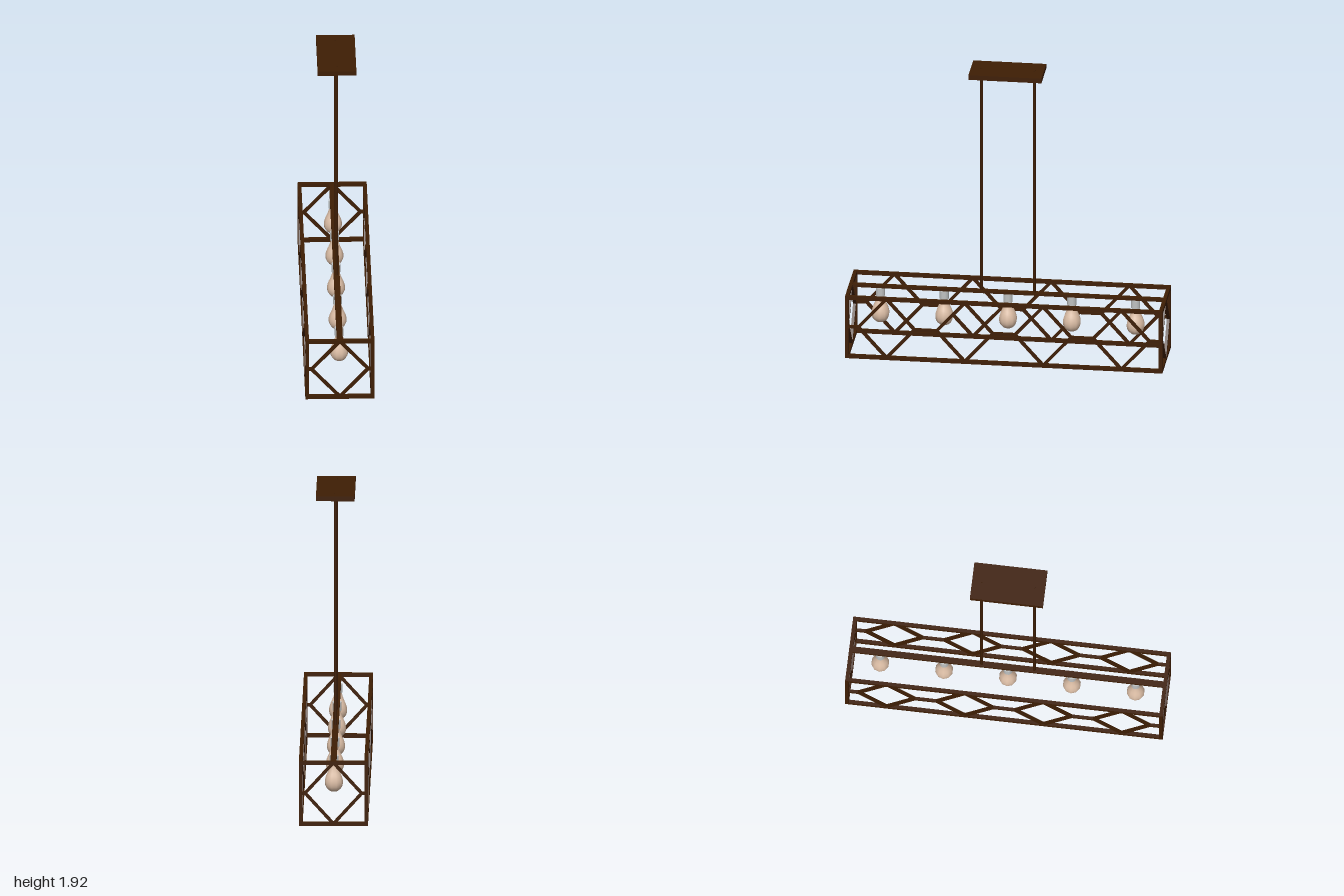
import * as THREE from 'three';

export function createModel() {
  const root = new THREE.Group();
  root.name = 'pendantLight';
  const bronze = new THREE.MeshStandardMaterial({ color: 0x3e1e04 });
  bronze.name = 'dark bronze';
  const glass = new THREE.MeshStandardMaterial({ color: 0xdcbea6 });
  glass.name = 'warm bulb glass';
  const metal = new THREE.MeshStandardMaterial({ color: 0xc0c3c3 });
  metal.name = 'socket grey';

  const add = (parent, name, geometry, material, x = 0, y = 0, z = 0) => {
    const mesh = new THREE.Mesh(geometry, material);
    mesh.name = name;
    mesh.position.set(x, y, z);
    parent.add(mesh);
    return mesh;
  };

  const W = 0.216, H = 0.42, L = 1, T = 0.023; // half width, height, half length, bar
  const cx = W - T / 2, cz = L - T / 2, mid = H / 2;

  // Outer cage of square bars
  const cage = new THREE.Group();
  cage.name = 'cage';
  root.add(cage);
  for (const y of [T / 2, H - T / 2]) {
    for (const s of [-1, 1]) {
      add(cage, 'longBar', new THREE.BoxGeometry(T, T, 2 * L), bronze, s * cx, y, 0);
      add(cage, 'endBar', new THREE.BoxGeometry(2 * W - 2 * T, T, T), bronze, 0, y, s * cz);
    }
  }
  for (const sx of [-1, 1]) for (const sz of [-1, 1])
    add(cage, 'cornerPost', new THREE.BoxGeometry(T, H - 2 * T, T), bronze, sx * cx, mid, sz * cz);
  add(cage, 'centreBar', new THREE.BoxGeometry(0.038, 0.016, 2 * L - 2 * T), bronze, 0, H - 0.01, 0);

  // A panel of diamonds joined by short horizontal struts, built in its own xy plane
  const S = 0.018, D = 0.177, rise = mid - T / 2;
  const strut = (parent, name, x1, y1, x2, y2) => {
    const length = Math.hypot(x2 - x1, y2 - y1);
    const bar = add(parent, name, new THREE.BoxGeometry(length, S, S), bronze,
      (x1 + x2) / 2, (y1 + y2) / 2, 0);
    bar.rotation.z = Math.atan2(y2 - y1, x2 - x1);
  };
  const diamondPanel = (centres, half) => {
    const panel = new THREE.Group();
    panel.name = 'diamondPanel';
    let previous = -half;
    for (const c of centres) {
      for (const sx of [-1, 1]) for (const sy of [-1, 1])
        strut(panel, 'diamondStrut', c + sx * D, mid, c, mid + sy * rise);
      strut(panel, 'linkStrut', previous, mid, c - D, mid);
      previous = c + D;
    }
    strut(panel, 'linkStrut', previous, mid, half, mid);
    root.add(panel);
    return panel;
  };
  for (const s of [-1, 1]) {
    diamondPanel([0], cx).position.z = s * cz;
    const side = diamondPanel([-0.74, -0.247, 0.247, 0.74], cz);
    side.position.x = s * cx;
    side.rotation.y = Math.PI / 2;
  }

  // Bulbs hanging from sockets under the centre bar
  const profile = new THREE.SplineCurve([
    [0, 0.169], [0.028, 0.175], [0.05, 0.199], [0.057, 0.232], [0.05, 0.268],
    [0.035, 0.303], [0.025, 0.335], [0.023, 0.36],
  ].map(([x, y]) => new THREE.Vector2(x, y))).getPoints(18);
  const bulbGeometry = new THREE.LatheGeometry(profile, 10, Math.PI / 2);
  const socketGeometry = new THREE.CylinderGeometry(0.029, 0.029, 0.055, 10);
  for (let i = -2; i <= 2; i++) {
    const lamp = new THREE.Group();
    lamp.name = 'lamp';
    lamp.position.z = i * 0.402;
    add(lamp, 'bulb', bulbGeometry, glass);
    add(lamp, 'socket', socketGeometry, metal, 0, 0.3745, 0);
    root.add(lamp);
  }

  // Hanging rods, showing just through the ceiling plate
  const top = 1.92, rodBase = H - 0.015, rodTop = top + 0.002;
  for (const s of [-1, 1])
    add(root, 'hangingRod', new THREE.CylinderGeometry(0.0095, 0.0095, rodTop - rodBase, 6),
      bronze, 0, (rodTop + rodBase) / 2, s * 0.166);
  add(root, 'ceilingPlate', new THREE.BoxGeometry(0.242, 0.031, 0.46), bronze, 0.001, top - 0.0155, 0.004);

  return root;
}
